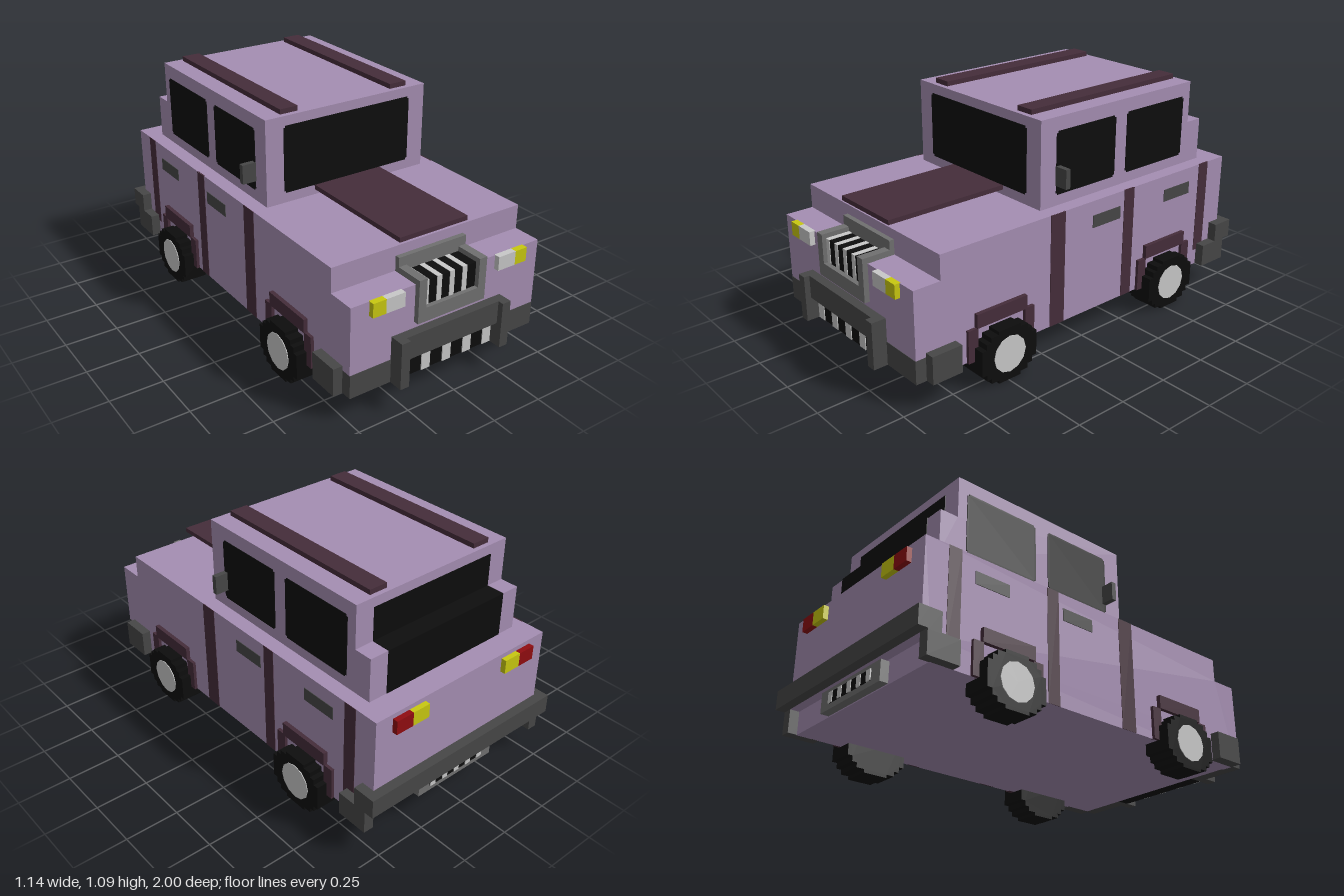
import * as THREE from 'three';

const mat = (name, color) => Object.assign(new THREE.MeshStandardMaterial({ color }), { name });

export function createModel() {
  const model = new THREE.Group();
  model.name = 'offRoadCar';
  const paint = mat('lilac paint', 0xa58eb2);
  const trim = mat('plum trim', 0x452d3a);
  const dark = mat('dark grey plastic', 0x474747);
  const grey = mat('mid grey metal', 0x707070);
  const light = mat('light grey', 0xc8c8c8);
  const black = mat('black', 0x0d0d0d);
  const yellow = mat('yellow lamp', 0xc8c810);
  const red = mat('red lamp', 0x900c10);

  const add = (name, geo, material) => {
    const mesh = new THREE.Mesh(geo, material);
    mesh.name = name;
    model.add(mesh);
    return mesh;
  };
  // Box given by its minimum and maximum on each axis
  const box = (name, m, x0, x1, y0, y1, z0, z1) =>
    add(name, new THREE.BoxGeometry(x1 - x0, y1 - y0, z1 - z0), m)
      .position.set((x0 + x1) / 2, (y0 + y1) / 2, (z0 + z1) / 2);
  // The same box on the left (+x) and right (-x)
  const pair = (name, m, x0, x1, ...rest) => {
    box(name + 'Left', m, x0, x1, ...rest);
    box(name + 'Right', m, -x1, -x0, ...rest);
  };
  // Outline in (z, y), extruded across x from x0 to x1
  const sideExtrude = (name, m, pts, x0, x1) => {
    const shape = new THREE.Shape(pts.map(([z, y]) => new THREE.Vector2(-z, y)));
    const geo = new THREE.ExtrudeGeometry(shape, { depth: x1 - x0, bevelEnabled: false });
    geo.rotateY(Math.PI / 2).translate(x0, 0, 0);
    return add(name, geo, m);
  };
  // Plate outline with a small square notch at each corner
  const notched = (a0, a1, b0, b1, n = 0.009) => [
    [a0 + n, b0], [a1 - n, b0], [a1 - n, b0 + n], [a1, b0 + n], [a1, b1 - n], [a1 - n, b1 - n],
    [a1 - n, b1], [a0 + n, b1], [a0 + n, b1 - n], [a0, b1 - n], [a0, b0 + n], [a0 + n, b0 + n]];

  // Lower body, stepped at the bonnet and cut back for the bumpers
  sideExtrude('body', paint, [[-0.91, 0.12], [0.88, 0.12], [0.88, 0.23], [0.93, 0.23], [0.93, 0.545],
    [0.797, 0.545], [0.797, 0.66], [-0.955, 0.66], [-0.955, 0.23], [-0.91, 0.23]], -0.5, 0.5);

  // Cab with rear step
  sideExtrude('cab', paint, [[0.205, 0.655], [0.205, 1.067], [-0.752, 1.067], [-0.752, 0.865],
    [-0.84, 0.865], [-0.84, 0.655]], -0.43, 0.43);

  // Windows
  const screen = new THREE.ExtrudeGeometry(
    new THREE.Shape(notched(-0.34, 0.34, 0.708, 1.022).map(p => new THREE.Vector2(...p))),
    { depth: 0.006, bevelEnabled: false });
  add('windscreen', screen, black).position.z = 0.203;
  box('rearWindowUpper', black, -0.337, 0.337, 0.865, 1.022, -0.755, -0.749);
  box('rearWindowShelf', black, -0.337, 0.337, 0.862, 0.868, -0.842, -0.752);
  box('rearWindowLower', black, -0.337, 0.337, 0.661, 0.868, -0.843, -0.837);
  for (const [z0, z1] of [[-0.247, 0.115], [-0.705, -0.32]]) {
    sideExtrude('sideWindowLeft', black, notched(z0, z1, 0.71, 1.002), 0.427, 0.433);
    sideExtrude('sideWindowRight', black, notched(z0, z1, 0.71, 1.002), -0.433, -0.427);
  }

  // Roof rails and floating bonnet plate
  pair('roofRail', trim, 0.25, 0.34, 1.065, 1.09, -0.73, 0.18);
  box('bonnetPlate', trim, -0.18, 0.18, 0.685, 0.707, 0.2, 0.82);

  // Side stripes, door handles and mirrors
  pair('frontStripe', trim, 0.495, 0.502, 0.12, 0.66, 0.12, 0.205);
  pair('middleStripe', trim, 0.495, 0.502, 0.12, 0.66, -0.315, -0.25);
  pair('rearStripe', trim, 0.495, 0.502, 0.2, 0.66, -0.84, -0.775);
  pair('frontDoorHandle', dark, 0.496, 0.503, 0.53, 0.59, -0.225, -0.05);
  pair('rearDoorHandle', dark, 0.496, 0.503, 0.53, 0.59, -0.705, -0.525);
  pair('mirror', dark, 0.43, 0.497, 0.755, 0.845, 0.093, 0.118);

  // Main grille: frame, black back and light bars
  box('grilleTop', grey, -0.18, 0.18, 0.54, 0.615, 0.79, 0.82);
  pair('grillePost', grey, 0.14, 0.18, 0.37, 0.572, 0.79, 0.955);
  box('grilleBottom', grey, -0.14, 0.14, 0.37, 0.435, 0.92, 0.955);
  box('grilleBack', black, -0.14, 0.14, 0.435, 0.549, 0.82, 0.933);
  for (let i = 0; i < 4; i++) {
    const x = -0.139 + i * 0.068;
    box('grilleBar', light, x, x + 0.025, 0.435, 0.551, 0.82, 0.936);
  }

  // Headlights and tail lights
  pair('headlight', light, 0.25, 0.345, 0.48, 0.546, 0.925, 0.955);
  pair('indicator', yellow, 0.345, 0.41, 0.48, 0.546, 0.925, 0.955);
  pair('tailLight', red, 0.32, 0.41, 0.572, 0.638, -0.98, -0.95);
  pair('rearIndicator', yellow, 0.23, 0.32, 0.572, 0.638, -0.98, -0.95);

  // Front bumper, bull bar and lower grille
  pair('frontBumper', dark, 0.25, 0.5, 0.12, 0.23, 0.87, 0.932);
  pair('frontBumperEnd', dark, 0.49, 0.545, 0.12, 0.25, 0.73, 0.88);
  box('bullBar', dark, -0.25, 0.25, 0.23, 0.34, 0.925, 0.973);
  pair('bullBarPost', dark, 0.25, 0.295, 0.12, 0.34, 0.925, 1);
  box('lowerGrilleBack', black, -0.25, 0.25, 0.12, 0.23, 0.87, 0.935);
  for (let i = 0; i < 5; i++) {
    const x = -0.25 + i * 0.1135;
    box('lowerGrilleBar', light, x, x + 0.046, 0.12, 0.23, 0.925, 0.939);
  }

  // Rear bumper and the barred panel beneath it
  box('rearBumper', dark, -0.545, 0.545, 0.23, 0.32, -1, -0.95);
  pair('rearBumperEnd', dark, 0.5, 0.545, 0.225, 0.32, -0.95, -0.89);
  pair('rearBumperSkirt', dark, 0.495, 0.545, 0.12, 0.23, -0.955, -0.8);
  box('rearPanel', grey, -0.225, 0.225, 0.125, 0.22, -0.95, -0.9);
  box('rearPanelBack', black, -0.16, 0.16, 0.15, 0.2, -0.953, -0.948);
  for (let i = 0; i < 5; i++) {
    const x = -0.16 + i * 0.0725;
    box('rearPanelBar', light, x, x + 0.03, 0.15, 0.2, -0.956, -0.949);
  }

  // Wheels with a stepped outline, hubs and arches
  const quarter = [[0.15, 0.06], [0.125, 0.06], [0.125, 0.087], [0.1, 0.087], [0.1, 0.11],
    [0.06, 0.11], [0.06, 0.126]];
  const back = [...quarter].reverse();
  const ring = [...quarter, ...back.map(([z, y]) => [-z, y]),
    ...quarter.map(([z, y]) => [-z, -y]), ...back.map(([z, y]) => [z, -y])];
  for (const zc of [0.492, -0.535]) {
    const outline = ring.map(([z, y]) => [z + zc, y + 0.126]);
    for (const s of [1, -1]) {
      sideExtrude('tyre', black, outline, s > 0 ? 0.43 : -0.565, s > 0 ? 0.565 : -0.43);
      const hub = add('hub', new THREE.CylinderGeometry(0.087, 0.087, 0.008, 12), light);
      hub.rotation.z = Math.PI / 2;
      hub.position.set(s * 0.564, 0.126, zc);
    }
    pair('archTop', trim, 0.49, 0.52, 0.275, 0.34, zc - 0.137, zc + 0.137);
    pair('archFront', trim, 0.49, 0.515, 0.12, 0.275, zc + 0.13, zc + 0.182);
    pair('archRear', trim, 0.49, 0.515, 0.12, 0.275, zc - 0.182, zc - 0.13);
  }
  return model;
}
